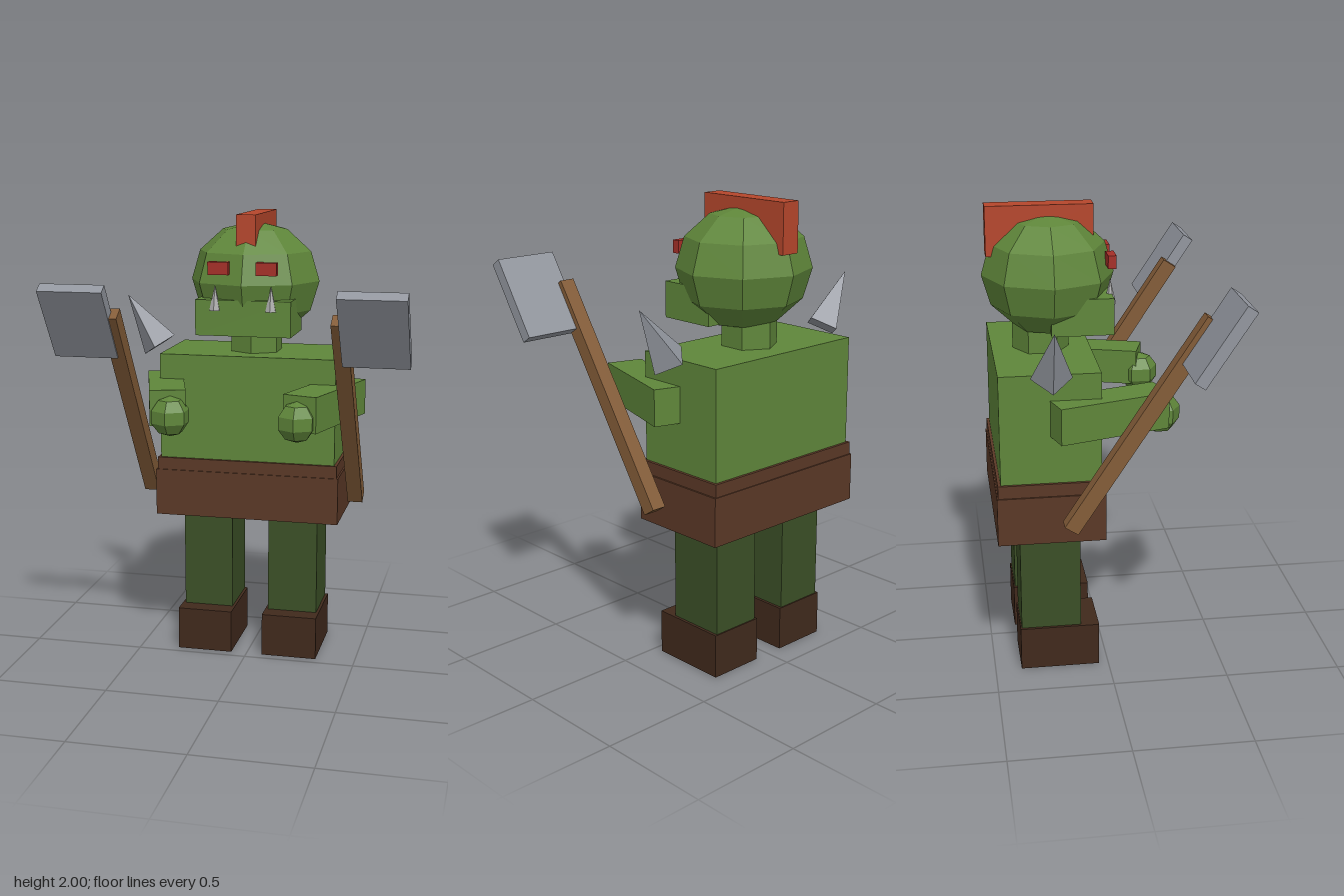
import * as THREE from 'three';

const mat = (color) => new THREE.MeshStandardMaterial({ color, flatShading: true });

export function createModel() {
  const model = new THREE.Group();
  model.name = 'axeWarrior';

  const skin = mat(0x5f863a);
  const trousers = mat(0x3b4f26);
  const leather = mat(0x5a3826);
  const bootLeather = mat(0x40291c);
  const wood = mat(0x835c38);
  const metal = mat(0x92969e);
  const crestRed = mat(0xb5462b);
  const eyeRed = mat(0xa52f27);
  const tuskGrey = mat(0xaaaaaa);

  const add = (name, geometry, material, x, y, z, parent = model) => {
    const mesh = new THREE.Mesh(geometry, material);
    mesh.name = name;
    mesh.position.set(x, y, z);
    parent.add(mesh);
    return mesh;
  };
  const box = (w, h, d) => new THREE.BoxGeometry(w, h, d);

  // Body
  add('torso', box(0.79, 0.52, 0.42), skin, 0, 1.125, -0.25);
  add('waistband', box(0.815, 0.1, 0.445), leather, 0, 0.865, -0.25);
  add('belt', box(0.83, 0.21, 0.455), leather, 0, 0.755, -0.25);
  add('neck', new THREE.CylinderGeometry(0.12, 0.12, 0.16, 6), skin, 0, 1.42, -0.25);

  // Head
  const head = add('head', new THREE.SphereGeometry(0.29, 8, 6), skin, 0, 1.705, -0.215);
  head.scale.set(1, 0.89, 0.965);
  add('jaw', box(0.42, 0.155, 0.26), skin, 0, 1.563, -0.092);
  add('crest', box(0.086, 0.21, 0.45), crestRed, 0, 1.895, -0.25);

  // Paired parts
  for (const s of [1, -1]) {
    const side = s > 0 ? 'left' : 'right';

    add(side + 'Eye', box(0.09, 0.055, 0.035), eyeRed, s * 0.105, 1.777, 0.038);
    add(side + 'Tusk', new THREE.ConeGeometry(0.026, 0.11, 6), tuskGrey, s * 0.123, 1.65, 0.032);

    add(side + 'Leg', box(0.225, 0.47, 0.26), trousers, s * 0.197, 0.425, -0.25);
    add(side + 'Boot', box(0.25, 0.195, 0.345), bootLeather, s * 0.197, 0.0975, -0.213);

    // Arm angled inward towards the hand
    const arm = add(side + 'Arm', box(0.155, 0.155, 0.485), skin, s * 0.357, 1.197, -0.008);
    arm.rotation.y = -s * 0.3;
    const hand = add(side + 'Hand', new THREE.SphereGeometry(0.088, 6, 5), skin, s * 0.275, 1.162, 0.222);
    hand.rotation.y = Math.PI / 6;

    // Shoulder spike leaning outward
    const spike = add(side + 'ShoulderSpike', new THREE.ConeGeometry(0.085, 0.27, 4), metal,
      s * 0.53, 1.505, -0.25);
    spike.rotation.z = -s * 0.58;

    // Axe tilted forward
    const axe = new THREE.Group();
    axe.name = side + 'Axe';
    axe.position.set(s * 0.475, 1.18, 0.106);
    axe.rotation.x = 0.58;
    add('handle', box(0.066, 1.045, 0.066), wood, 0, 0, 0, axe);
    add('blade', box(0.277, 0.355, 0.05), metal, s * 0.138, 0.487, 0.014, axe);
    model.add(axe);
  }

  return model;
}
